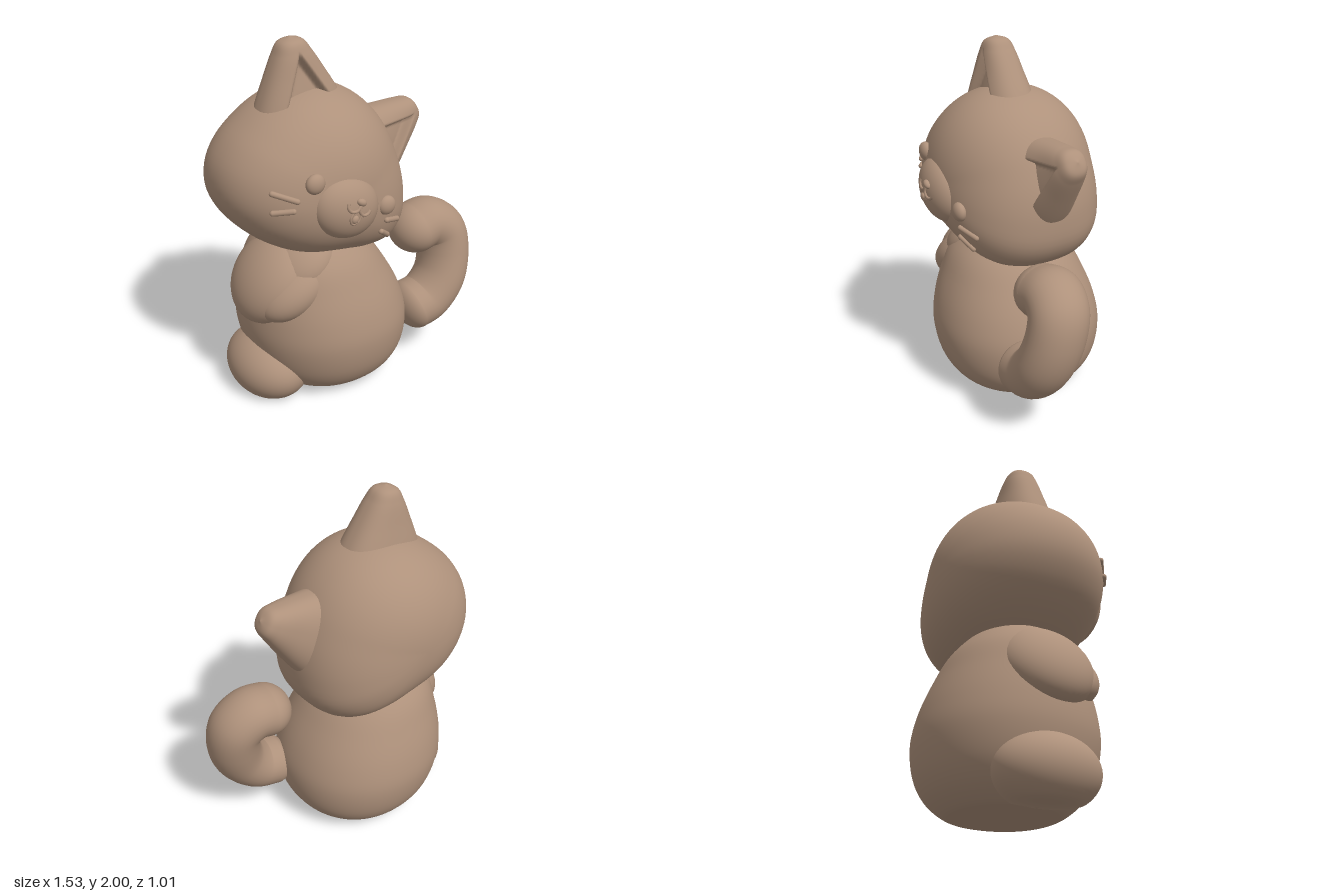
import * as THREE from 'three';
import { mergeVertices } from 'three/addons/utils/BufferGeometryUtils.js';

const V = (x, y, z) => new THREE.Vector3(x, y, z);
const DEG = Math.PI / 180;
const TILT = -28 * DEG;

// Smooth closed surface: u runs around the axis, v along it
function surface(nu, nv, fn) {
  const pos = [], idx = [];
  for (let j = 0; j <= nv; j++)
    for (let i = 0; i <= nu; i++) pos.push(...fn((i % nu) / nu * Math.PI * 2, j / nv));
  for (let j = 0; j < nv; j++)
    for (let i = 0; i < nu; i++) {
      const a = j * (nu + 1) + i, c = a + nu + 1;
      idx.push(a, a + 1, c, a + 1, c + 1, c);
    }
  let g = new THREE.BufferGeometry();
  g.setAttribute('position', new THREE.Float32BufferAttribute(pos, 3));
  g.setIndex(idx);
  g = mergeVertices(g, 1e-5);
  g.computeVertexNormals();
  return g;
}

const spow = (v, p) => Math.sign(v) * Math.abs(v) ** p;

// Head outline: radius every 15 degrees around its centre
const HEAD = { x: -0.23, y: 1.24, z: -0.03, depth: 0.46 };
const OUTLINE = [.533, .51, .503, .503, .505, .504, .50, .494, .492, .50, .522, .54,
  .533, .497, .455, .422, .403, .395, .402, .436, .508, .592, .607, .567];
function headRadius(angle) {
  const t = ((angle / (15 * DEG)) % 24 + 24) % 24, i = Math.floor(t), f = t - i;
  const p = k => OUTLINE[(i + k + 24) % 24];
  return p(0) + 0.5 * f * (p(1) - p(-1) + f * (2 * p(-1) - 5 * p(0) + 4 * p(1) - p(2)
    + f * (3 * (p(0) - p(1)) + p(2) - p(-1))));
}
// Round on top, fuller underneath
const headPower = angle => 2.1 + 0.5 * THREE.MathUtils.smoothstep(-Math.sin(angle), -0.4, 1);
// Front surface depth of the head at x, y
function headZ(x, y) {
  const dx = x - HEAD.x, dy = y - HEAD.y, a = Math.atan2(dy, dx), n = headPower(a);
  const q = Math.min(1, Math.hypot(dx, dy) / headRadius(a));
  return HEAD.z + HEAD.depth * (1 - q ** n) ** (1 / n);
}

function headGeometry() {
  return surface(96, 56, (a, v) => {
    const phi = (v - 0.5) * Math.PI, e = 2 / headPower(a);
    const r = headRadius(a) * spow(Math.max(0, Math.cos(phi)), e);
    return [HEAD.x + r * Math.cos(a), HEAD.y + r * Math.sin(a), HEAD.z + HEAD.depth * spow(Math.sin(phi), e)];
  });
}

// Body: slightly squared round sections whose centres lean to one side with height
function bodyGeometry() {
  const profile = new THREE.CatmullRomCurve3([
    [0, 0], [.15, 0], [.28, 0], [.345, .035], [.41, .1], [.46, .2], [.485, .36], [.465, .5],
    [.41, .66], [.33, .82], [.17, .96], [0, 1.0]].map(([r, y]) => V(r, y, 0)));
  const e = 2 / 2.12;
  return surface(80, 66, (a, v) => {
    const p = profile.getPoint(v), y = Math.max(0, p.y), r = Math.max(0, p.x);
    return [-0.115 - 0.155 * y * y + r * spow(Math.cos(a), e), y, -0.025 - r * spow(Math.sin(a), e)];
  });
}

// Ear: rounded tapering sections with a triangular hollow pressed into the front
function earGeometry() {
  const profile = new THREE.CatmullRomCurve3([
    V(.29, -.14, .17), V(.228, 0, .148), V(.167, .12, .12),
    V(.102, .24, .09), V(.066, .295, .064), V(0, .32, 0)]);
  return surface(120, 70, (a, v) => {
    const p = profile.getPoint(v), e = 2 / 2.4;
    const x = Math.max(0, p.x) * spow(Math.cos(a), e);
    let z = -Math.max(0, p.z) * spow(Math.sin(a), e);
    const inner = 0.135 * (1 - p.y / 0.26) - Math.abs(x);
    if (z > 0) z -= 0.055 * THREE.MathUtils.smoothstep(inner, 0, 0.04);
    return [x, p.y, z];
  });
}

export function createModel() {
  const model = new THREE.Group();
  model.name = 'sittingCat';
  const clay = new THREE.MeshStandardMaterial({ color: 0xae917b });
  clay.name = 'warm brown';

  const add = (name, geometry, parent = model) => {
    const mesh = new THREE.Mesh(geometry, clay);
    mesh.name = name;
    parent.add(mesh);
    return mesh;
  };
  const ellipsoid = (name, at, radii, turn = 0, parent = model) => {
    const mesh = add(name, new THREE.SphereGeometry(1, 40, 28), parent);
    mesh.position.set(...at);
    mesh.scale.set(...radii);
    mesh.rotation.z = turn;
    return mesh;
  };

  add('body', bodyGeometry());
  add('head', headGeometry());

  // Ears
  const ear = earGeometry();
  for (const [name, x, y, turn] of [['rightEar', -.275, 1.68, 6 * DEG], ['leftEar', .222, 1.337, -60 * DEG]]) {
    const mesh = add(name, ear);
    mesh.position.set(x, y, -0.012);
    mesh.rotation.z = turn;
  }

  // Raised arm: shoulder, upper arm and forearm folded across the chest
  ellipsoid('shoulder', [-.34, .79, .02], [.25, .17, .28], 35 * DEG);
  ellipsoid('upperArm', [-.48, .7, .015], [.17, .27, .26], -38 * DEG);
  ellipsoid('forearm', [-.42, .685, .15], [.24, .14, .18], 32 * DEG);

  // Foot, flattened where it meets the ground
  const foot = new THREE.SphereGeometry(1, 48, 32);
  foot.scale(.22, .195, .285).translate(-.508, .14, -.01);
  const fp = foot.attributes.position;
  for (let i = 0; i < fp.count; i++) fp.setY(i, Math.max(0, fp.getY(i)));
  add('foot', foot);

  // Tail: curled tube with rounded ends, a little deeper than wide
  const tailPath = new THREE.CatmullRomCurve3([
    V(.36, .315, .18), V(.46, .345, .187), V(.565, .46, .185), V(.61, .61, .16),
    V(.595, .74, .135), V(.51, .8, .118), V(.42, .785, .115)]);
  const tail = new THREE.Group();
  tail.name = 'tail';
  tail.scale.z = 1.12;
  model.add(tail);
  add('tailTube', new THREE.TubeGeometry(tailPath, 80, .148, 32), tail);
  ellipsoid('tailBase', [.36, .315, .18], [.1, .148, .148], 12 * DEG, tail);
  ellipsoid('tailTip', [.42, .785, .115], [.148, .148, .148], 0, tail);

  // Eyes
  for (const [name, x, y] of [['rightEye', -.42, 1.37], ['leftEye', .005, 1.15]])
    ellipsoid(name, [x, y, headZ(x, y)], [.053, .053, .035], TILT);

  // Muzzle with nose, mouth line and small open mouth
  const face = new THREE.Group();
  face.name = 'muzzleGroup';
  face.position.set(-.24, 1.2, .377);
  face.rotation.z = TILT;
  model.add(face);
  const muzzleZ = (x, y) => .115 * Math.sqrt(1 - (x / .2) ** 2 - (y / .168) ** 2);
  const onMuzzle = (x, y) => V(x, y, muzzleZ(x, y));
  ellipsoid('muzzle', [0, 0, 0], [.2, .168, .115], 0, face);
  ellipsoid('nose', [0, .062, muzzleZ(0, .062)], [.03, .02, .02], 0, face);
  for (const s of [-1, 1]) {
    const lip = new THREE.CatmullRomCurve3(
      [[0, .045], [.01, .015], [.04, .002], [.066, .015], [.074, .034]].map(([x, y]) => onMuzzle(s * x, y)));
    add('lip', new THREE.TubeGeometry(lip, 24, .009, 10), face);
  }
  ellipsoid('tongue', [0, -.03, muzzleZ(0, -.03)], [.02, .022, .014], 0, face);
  const mouth = new THREE.CatmullRomCurve3(
    [[-.026, 0], [-.026, -.035], [0, -.058], [.026, -.035], [.026, 0]].map(([x, y]) => onMuzzle(x, y)));
  add('mouth', new THREE.TubeGeometry(mouth, 24, .007, 10), face);

  // Whiskers: short rods lying on the cheeks
  for (const [x1, y1, x2, y2] of [[-.615, 1.335, -.515, 1.295], [-.62, 1.235, -.535, 1.245],
    [.01, 1.06, .11, 1.025], [-.015, .995, .055, .94]]) {
    const a = V(x1, y1, headZ(x1, y1) + .005), b = V(x2, y2, headZ(x2, y2) + .005);
    const rod = add('whisker', new THREE.CapsuleGeometry(.015, a.distanceTo(b), 8, 14));
    rod.position.copy(a).add(b).multiplyScalar(.5);
    rod.quaternion.setFromUnitVectors(V(0, 1, 0), b.sub(a).normalize());
  }
  return model;
}
